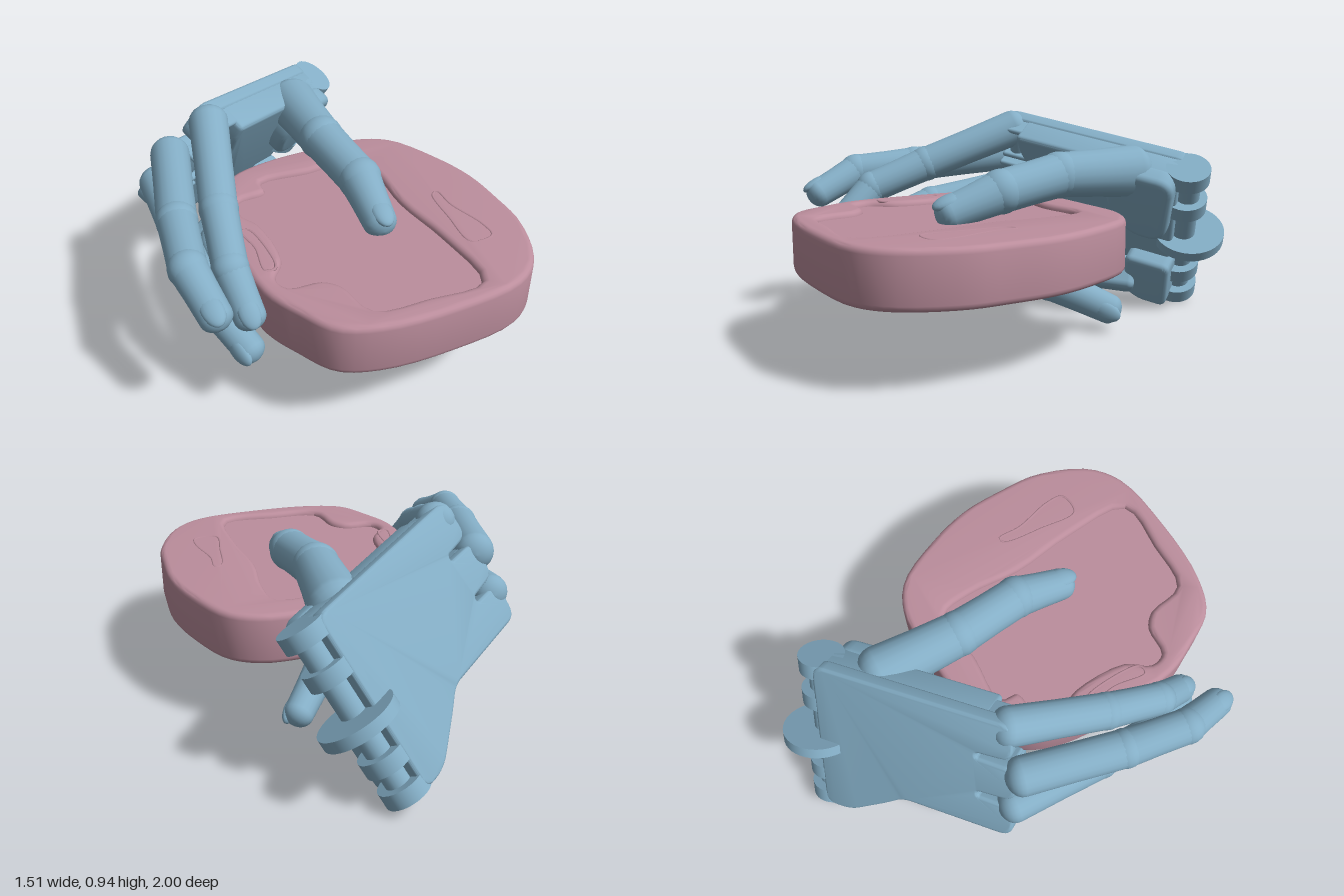
import * as THREE from 'three';
import { toCreasedNormals } from 'three/addons/utils/BufferGeometryUtils.js';
import { RoundedBoxGeometry } from 'three/addons/geometries/RoundedBoxGeometry.js';

const blue = new THREE.MeshStandardMaterial({ color: 0x84aec6 });
const pink = new THREE.MeshStandardMaterial({ color: 0xbc8e9d });
const vec = (p) => new THREE.Vector3(...p);

function add(parent, name, geometry, material = blue, position = [0, 0, 0]) {
  const mesh = new THREE.Mesh(geometry, material);
  mesh.name = name;
  mesh.position.set(...position);
  parent.add(mesh);
  return mesh;
}

// Closed smooth outline through a few 2D points
function smoothOutline(points, scale = 1, cx = 0, cy = 0) {
  const curve = new THREE.CatmullRomCurve3(points.map(([x, y]) =>
    new THREE.Vector3(cx + (x - cx) * scale, cy + (y - cy) * scale, 0)), true, 'centripetal');
  return curve.getPoints(72).slice(0, -1).map((p) => new THREE.Vector2(p.x, p.y));
}

// Polygon with rounded corners
function roundedShape(points, r) {
  const shape = new THREE.Shape();
  const n = points.length;
  points.forEach((p, i) => {
    const c = new THREE.Vector2(...p);
    const a = new THREE.Vector2(...points[(i + n - 1) % n]).sub(c);
    const b = new THREE.Vector2(...points[(i + 1) % n]).sub(c);
    const k = Math.min(r, a.length() * 0.45, b.length() * 0.45);
    a.setLength(k).add(c);
    b.setLength(k).add(c);
    if (i) shape.lineTo(a.x, a.y); else shape.moveTo(a.x, a.y);
    shape.quadraticCurveTo(c.x, c.y, b.x, b.y);
  });
  shape.closePath();
  return shape;
}

function extrude(shape, depth, bevel) {
  const g = new THREE.ExtrudeGeometry(shape, {
    depth: depth - 2 * bevel, bevelEnabled: bevel > 0, bevelThickness: bevel, bevelSize: bevel,
    bevelOffset: -bevel, bevelSegments: 4, curveSegments: 6,
  });
  g.translate(0, 0, bevel);
  return toCreasedNormals(g, 0.6);
}

// Tapered finger bone with round ends
function bone(parent, name, a, b, ra, rb) {
  const dir = b.clone().sub(a);
  const len = dir.length();
  const profile = [];
  for (let i = 0; i <= 6; i++) {
    const t = (i / 6) * Math.PI / 2;
    profile.push(new THREE.Vector2(ra * Math.sin(t), -ra * Math.cos(t) * 0.8));
  }
  profile.push(new THREE.Vector2((ra + rb) * 0.49, len * 0.5));
  for (let i = 0; i <= 6; i++) {
    const t = (i / 6) * Math.PI / 2;
    profile.push(new THREE.Vector2(rb * Math.cos(t), len + rb * Math.sin(t) * 0.8));
  }
  profile[0].x = profile[profile.length - 1].x = 0;
  const mesh = add(parent, name, new THREE.LatheGeometry(profile, 20), blue, a.toArray());
  mesh.quaternion.setFromUnitVectors(new THREE.Vector3(0, 1, 0), dir.normalize());
}

function digit(parent, name, joints, radii, nailSide) {
  const group = new THREE.Group();
  group.name = name;
  parent.add(group);
  const pts = joints.map(vec);
  for (let i = 0; i < pts.length - 1; i++)
    bone(group, name + 'Segment', pts[i], pts[i + 1], radii[i], radii[i + 1]);
  // Knuckle caps at the bends
  for (let i = 1; i < pts.length - 1; i++)
    add(group, name + 'Joint', new THREE.SphereGeometry(radii[i] * 1.04, 20, 14), blue, pts[i].toArray());
  // Fingernail, nearly flush with the fingertip
  const tip = pts[pts.length - 1], r = radii[radii.length - 1];
  const y = tip.clone().sub(pts[pts.length - 2]).normalize();
  const z = vec(nailSide).addScaledVector(y, -vec(nailSide).dot(y)).normalize();
  const nail = add(group, name + 'Nail', new THREE.SphereGeometry(r, 18, 12));
  nail.scale.set(0.68, 1.05, 0.4);
  nail.quaternion.setFromRotationMatrix(new THREE.Matrix4().makeBasis(y.clone().cross(z), y, z));
  nail.position.copy(tip).addScaledVector(z, r * 0.66).addScaledVector(y, -r * 0.2);
}

function buildSlab(root) {
  const slab = new THREE.Group();
  slab.name = 'slab';
  root.add(slab);
  const outline = [[-0.05, -0.25], [0.2, -0.26], [0.44, -0.25], [0.58, -0.17], [0.69, 0.05], [0.745, 0.25],
    [0.75, 0.45], [0.735, 0.64], [0.63, 0.87], [0.49, 0.97], [0.2, 1], [-0.1, 0.98], [-0.27, 0.91],
    [-0.36, 0.76], [-0.425, 0.6], [-0.43, 0.3], [-0.41, 0.08], [-0.35, -0.08], [-0.23, -0.2]];
  const recess = [[-0.15, -0.02], [-0.13, -0.1], [0.1, -0.09], [0.34, -0.1], [0.37, 0.05], [0.35, 0.3], [0.38, 0.6],
    [0.36, 0.9], [0.12, 0.9], [-0.1, 0.87], [-0.14, 0.7], [-0.2, 0.64], [-0.33, 0.62], [-0.35, 0.55],
    [-0.28, 0.45], [-0.27, 0.2], [-0.31, 0.1], [-0.28, 0]];
  const shape = new THREE.Shape(smoothOutline(outline));
  shape.holes.push(new THREE.Path(smoothOutline(recess)));
  const body = extrude(shape, 0.23, 0.026);
  body.rotateX(Math.PI / 2);
  add(slab, 'slabBody', body, pink, [0, 0.572, 0]);
  // Sunken floor inside the rim
  const floor = extrude(new THREE.Shape(smoothOutline(recess, 1.1, 0.05, 0.4)), 0.205, 0);
  floor.rotateX(Math.PI / 2);
  add(slab, 'recessFloor', floor, pink, [0, 0.548, 0]);
  // Worn marks on the rim
  const marks = [
    [[-0.36, 0.22], [-0.33, 0.22], [-0.31, 0.35], [-0.33, 0.5], [-0.37, 0.5], [-0.35, 0.35]],
    [[0.5, 0.32], [0.53, 0.31], [0.53, 0.42], [0.57, 0.6], [0.56, 0.68], [0.46, 0.68], [0.47, 0.5]],
  ];
  for (const mark of marks) {
    const path = new THREE.CatmullRomCurve3(mark.map(([x, z]) => new THREE.Vector3(x, 0.568, z)), true);
    add(slab, 'rimMark', new THREE.TubeGeometry(path, 48, 0.007, 6, true), pink);
  }
}

// Palm frame: x runs to the knuckles, y across to the little finger, z to the inner side
function buildPalm(root) {
  const palm = new THREE.Group();
  palm.name = 'palm';
  const x = vec([-0.787, 0.2, 0.585]).normalize();
  const y = vec([-0.5, -0.82, -0.27]);
  y.addScaledVector(x, -y.dot(x)).normalize();
  palm.quaternion.setFromRotationMatrix(new THREE.Matrix4().makeBasis(x, y, x.clone().cross(y)));
  palm.position.set(0.42, 0.765, -0.78);
  root.add(palm);

  // Back plate with slits between the knuckles
  const plate = roundedShape([[0.09, 0], [1, 0], [1.01, 0.18], [0.85, 0.19], [0.85, 0.215], [1.03, 0.22], [1.03, 0.39],
    [0.86, 0.4], [0.86, 0.425], [1.03, 0.43], [1.02, 0.6], [0.5, 0.6], [0.42, 0.66], [0.22, 0.79], [0.09, 0.79]], 0.06);
  add(palm, 'backPlate', extrude(plate, 0.07, 0.015));
  const block = roundedShape([[0.1, 0.005], [0.89, 0.005], [0.87, 0.1], [0.81, 0.2], [0.8, 0.58], [0.48, 0.58],
    [0.22, 0.78], [0.1, 0.78]], 0.03);
  add(palm, 'palmBlock', extrude(block, 0.15, 0.02), blue, [0, 0, 0.04]);
  // Heel of the palm
  const heel = roundedShape([[0.08, 0.5], [0.3, 0.5], [0.3, 0.72], [0.22, 0.77], [0.08, 0.77]], 0.04);
  add(palm, 'palmHeel', extrude(heel, 0.17, 0.025), blue, [0, 0, 0.1]);
  // Knuckle prongs and pins
  [[0.095, 0.92], [0.305, 0.94], [0.515, 0.93]].forEach(([v, u]) => {
    for (const side of [-1, 1])
      add(palm, 'knuckleProng', new RoundedBoxGeometry(0.16, 0.025, 0.1, 2, 0.012), blue, [u - 0.02, v + side * 0.075, 0.1]);
    add(palm, 'knucklePin', new THREE.CylinderGeometry(0.035, 0.035, 0.17, 16), blue, [u, v, 0.1]);
  });
  // Wrist hinge: shaft, lugs and the large centre disc
  add(palm, 'wristShaft', new THREE.CylinderGeometry(0.055, 0.055, 0.72, 24), blue, [0.07, 0.41, 0.1]);
  for (const v of [0.04, 0.21, 0.61, 0.755])
    add(palm, 'wristLug', new THREE.CylinderGeometry(0.1, 0.1, 0.07, 32), blue, [0.08, v, 0.1]);
  add(palm, 'wristDisc', new THREE.CylinderGeometry(0.165, 0.165, 0.05, 40), blue, [0.05, 0.42, 0.075]);
  // Thumb mount on the inner side
  const mount = roundedShape([[0.1, 0.0], [0.4, 0.0], [0.42, 0.2], [0.3, 0.36], [0.12, 0.36]], 0.08);
  add(palm, 'thumbMount', extrude(mount, 0.11, 0.03), blue, [0, 0, 0.15]);
}

export function createModel() {
  const root = new THREE.Group();
  root.name = 'handHoldingSlab';
  buildSlab(root);
  buildPalm(root);

  digit(root, 'indexFinger', [[-0.33, 0.87, -0.19], [-0.45, 0.71, 0.22], [-0.505, 0.61, 0.47], [-0.49, 0.475, 0.62]],
    [0.085, 0.078, 0.072, 0.065], [-0.2, 0.5, 1]);
  digit(root, 'middleFinger', [[-0.5, 0.73, -0.23], [-0.62, 0.69, 0.2], [-0.675, 0.67, 0.48], [-0.645, 0.58, 0.68]],
    [0.085, 0.082, 0.076, 0.066], [-0.3, 0.9, 0.4]);
  digit(root, 'ringFinger', [[-0.55, 0.56, -0.3], [-0.58, 0.5, 0.13], [-0.57, 0.41, 0.43], [-0.5, 0.32, 0.63]],
    [0.08, 0.076, 0.07, 0.064], [-0.8, 0, 0.6]);
  digit(root, 'littleFinger', [[-0.34, 0.235, -0.19], [0.0, 0.265, 0.01], [0.14, 0.22, -0.1], [0.315, 0.11, -0.3]],
    [0.088, 0.085, 0.08, 0.066], [0.7, -0.1, 0.6]);
  digit(root, 'thumb', [[0.2, 0.7, -0.49], [0.175, 0.705, -0.12], [0.205, 0.66, 0.19], [0.18, 0.585, 0.42]],
    [0.118, 0.098, 0.092, 0.072], [0.1, 1, 0.3]);

  // Hinged side of the palm that carries the little finger
  const flap = add(root, 'littleFingerBase', new RoundedBoxGeometry(0.13, 0.17, 0.64, 3, 0.035), blue, [-0.18, 0.19, -0.43]);
  flap.lookAt(-0.38 - 0.18, 0.19 + 0.06, -0.43 + 0.46);
  flap.rotateZ(0.45);
  return root;
}
